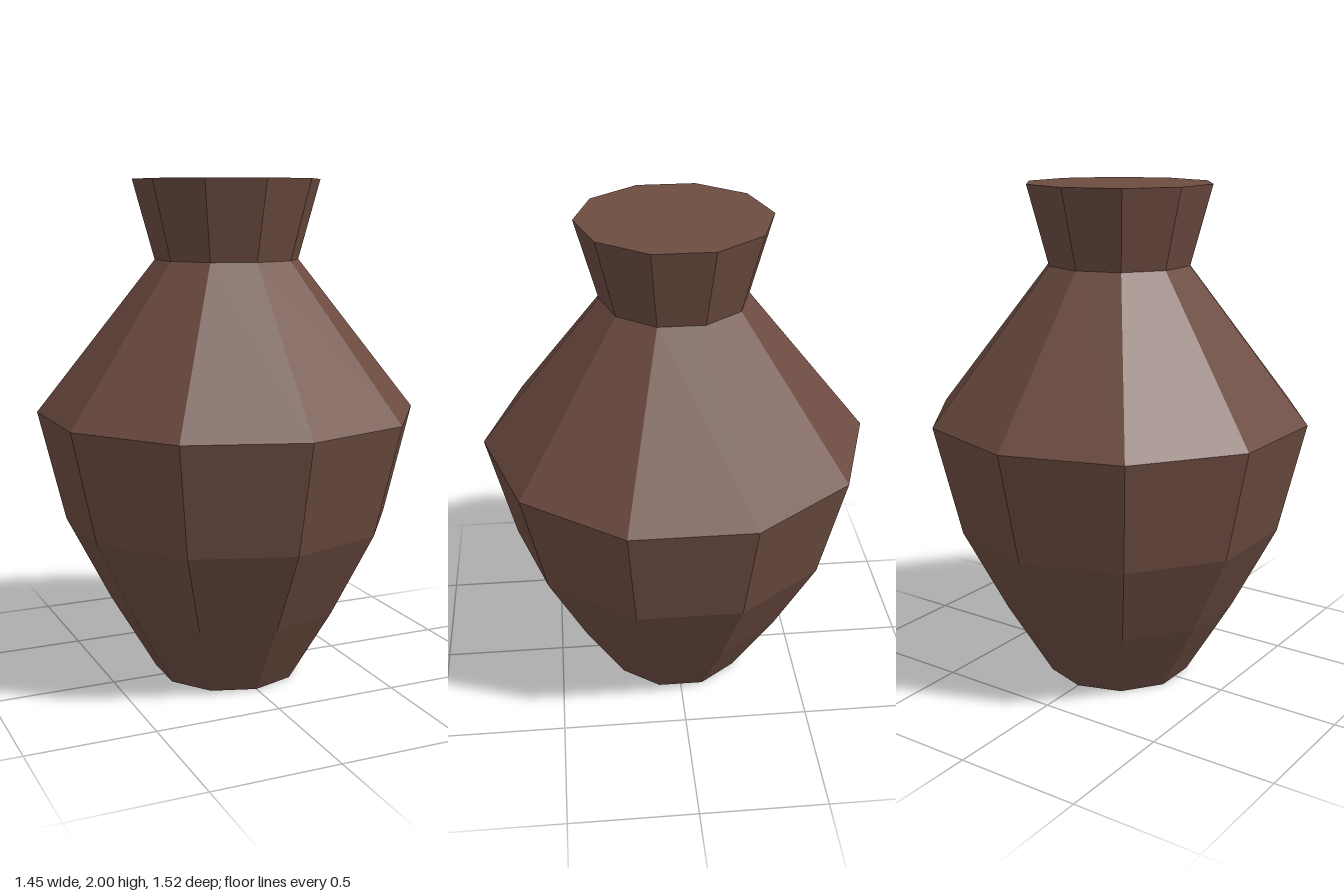
import * as THREE from 'three';

const SIDES = 10;

export function createModel() {
  const group = new THREE.Group();
  group.name = 'vase';
  const clay = new THREE.MeshStandardMaterial({ color: 0x6d4c41, flatShading: true });
  clay.name = 'brown clay';

  const add = (name, geometry) => {
    const mesh = new THREE.Mesh(geometry, clay);
    mesh.name = name;
    group.add(mesh);
    return mesh;
  };

  // Ten-sided bands, each profile listed from bottom to top as [radius, height]
  const bands = {
    belly: [[0.295, 0], [0.48, 0.31], [0.655, 0.65], [0.76, 1.09]],
    shoulder: [[0.76, 1.09], [0.285, 1.69]],
    neck: [[0.285, 1.69], [0.37, 2]],
  };
  for (const [name, profile] of Object.entries(bands)) {
    const points = profile.map(([r, y]) => new THREE.Vector2(r, y));
    add(name, new THREE.LatheGeometry(points, SIDES));
  }

  // Flat lids closing the mouth and the foot, with a corner on the z axis
  const lid = (radius) => new THREE.CircleGeometry(radius, SIDES, Math.PI / 2);
  add('mouthLid', lid(0.37).rotateX(-Math.PI / 2).translate(0, 2, 0));
  add('foot', lid(0.295).rotateX(Math.PI / 2));

  return group;
}
